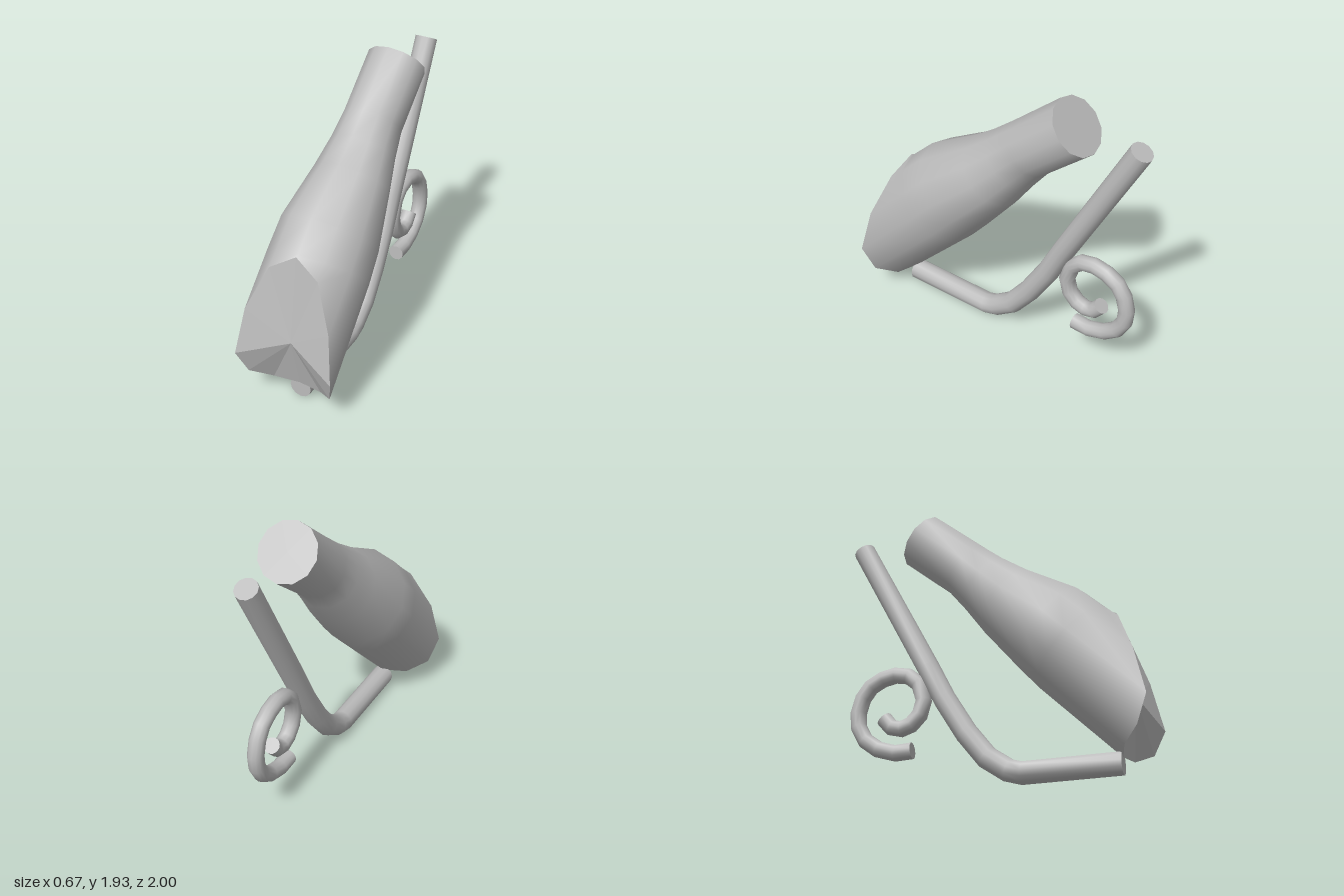
import * as THREE from 'three';

const SIDES = 12;

// Skin closed rings of points with smooth sides, and close both ends with flat fans
function loft(rings, material, name) {
  const pos = [], index = [];
  const n = rings[0].length;
  const add = (p) => pos.push(p.x, p.y, p.z) / 3 - 1;

  rings.forEach((ring) => ring.forEach(add));
  for (let i = 0; i < rings.length - 1; i++) {
    for (let j = 0; j < n; j++) {
      const k = (j + 1) % n;
      const a = i * n + j, b = i * n + k;
      index.push(a, b, b + n, a, b + n, a + n);
    }
  }

  // caps use their own vertices so the rim stays sharp
  const cap = (ring, flip) => {
    const centre = ring.reduce((s, p) => s.add(p), new THREE.Vector3()).divideScalar(n);
    for (let j = 0; j < n; j++) {
      const p = ring[j], q = ring[(j + 1) % n];
      index.push(add(centre), add(flip ? q : p), add(flip ? p : q));
    }
  };
  cap(rings[0], true);
  cap(rings[rings.length - 1], false);

  const geometry = new THREE.BufferGeometry();
  geometry.setAttribute('position', new THREE.Float32BufferAttribute(pos, 3));
  geometry.setIndex(index);
  geometry.computeVertexNormals();
  const mesh = new THREE.Mesh(geometry, material);
  mesh.name = name;
  return mesh;
}

// Round sections along a path of [z, y, radius] in the middle plane
function sections(path) {
  return path.map(([z, y, r], i) => {
    const before = path[Math.max(i - 1, 0)];
    const after = path[Math.min(i + 1, path.length - 1)];
    const dir = (p, q) => new THREE.Vector2(q[0] - p[0], q[1] - p[1]).normalize();
    const t = new THREE.Vector2();
    if (i > 0) t.add(dir(before, path[i]));
    if (i < path.length - 1) t.add(dir(path[i], after));
    t.normalize();
    return Array.from({ length: SIDES }, (_, j) => {
      const a = (j / SIDES) * Math.PI * 2;
      const s = Math.sin(a) * r;
      return new THREE.Vector3(Math.cos(a) * r, y + t.x * s, z - t.y * s);
    });
  });
}

const tube = (points, r) => sections(points.map(([z, y]) => [z, y, r]));

export function createModel() {
  const model = new THREE.Group();
  model.name = 'model';
  const grey = new THREE.MeshStandardMaterial({ color: 0xbbbbbb, side: THREE.DoubleSide });
  grey.name = 'grey';

  // body: tapered round sections, from the wide belly to the narrow neck
  const bodyRings = sections([
    [0.53, 0.84, 0.33], [0.385, 0.99, 0.32], [0.1, 1.23, 0.25],
    [-0.05, 1.38, 0.212], [-0.175, 1.505, 0.192], [-0.5, 1.78, 0.192],
  ]);
  // mouth: slanted rim, [z, y] from the top down to the bottom
  const rim = [[0.79, 1.06], [0.83, 0.96], [0.93, 0.68], [1, 0.37], [0.93, 0.2], [0.83, 0.13], [0.79, 0.11]];
  const mouth = Array.from({ length: SIDES }, (_, j) => {
    const a = (j / SIDES) * Math.PI * 2;
    const step = Math.round(Math.asin(Math.sin(a)) / (Math.PI / 6)) + 3;
    const [z, y] = rim[step];
    return new THREE.Vector3(0.333 * Math.cos(a), y, z);
  });
  model.add(loft([mouth, ...bodyRings], grey, 'body'));

  // bent rod: flat foot, then a curve up into the long straight stem
  model.add(loft(tube([
    [0.79, 0.074], [0.17, 0.074], [0.085, 0.1], [-0.05, 0.195],
    [-0.185, 0.37], [-0.33, 0.61], [-0.445, 0.84], [-0.935, 1.775],
  ], 0.073), grey, 'stem'));

  // curl behind the stem, winding inwards
  model.add(loft(tube([
    [-0.54, 0.29], [-0.655, 0.285], [-0.77, 0.322], [-0.86, 0.39],
    [-0.91, 0.485], [-0.918, 0.58], [-0.892, 0.68], [-0.84, 0.755],
    [-0.76, 0.8], [-0.67, 0.818], [-0.58, 0.8], [-0.51, 0.74],
    [-0.473, 0.62], [-0.498, 0.525], [-0.555, 0.465], [-0.62, 0.443],
    [-0.685, 0.46], [-0.737, 0.522],
  ], 0.053), grey, 'curl'));

  return model;
}
